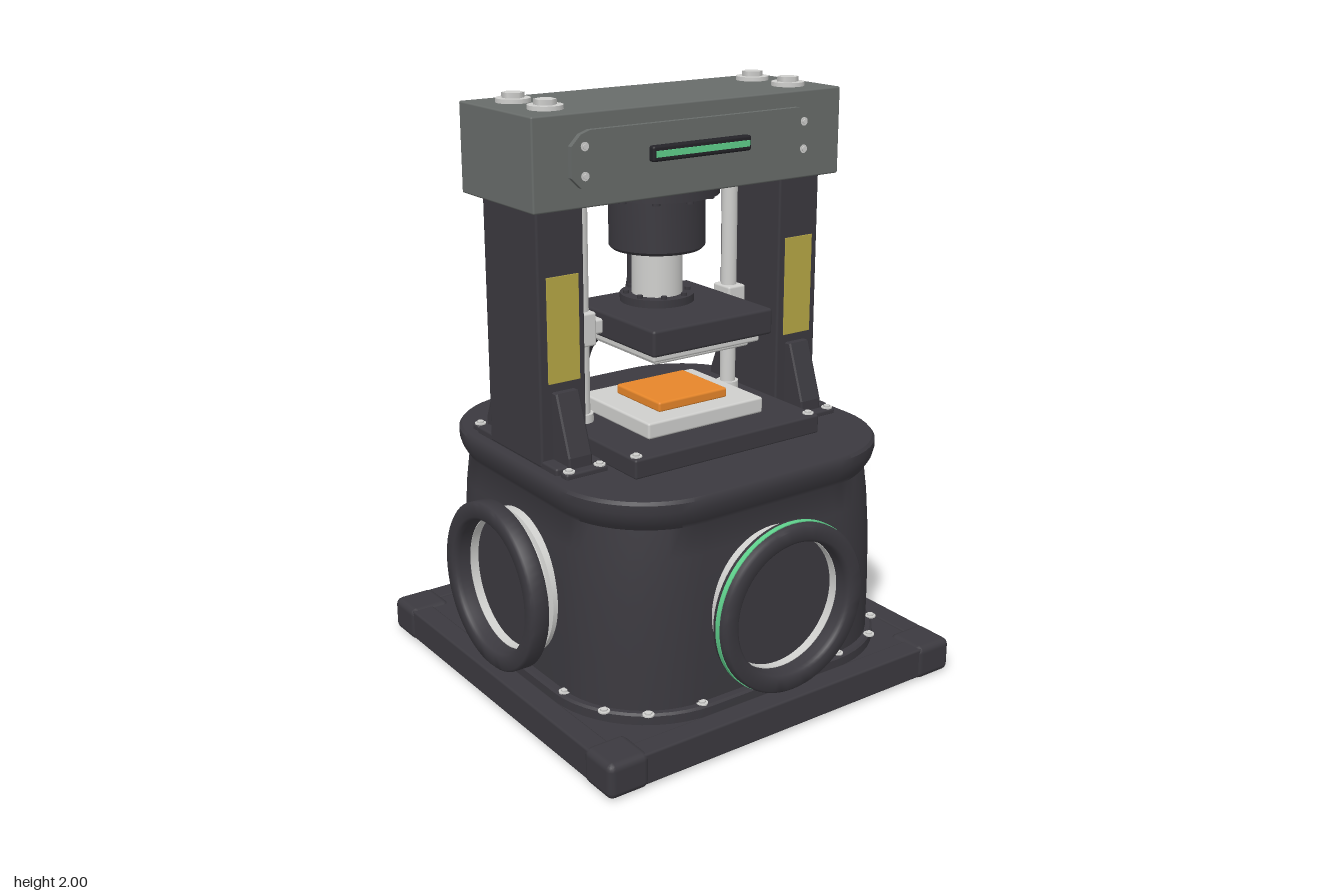
import * as THREE from 'three';
import { toCreasedNormals } from 'three/addons/utils/BufferGeometryUtils.js';
import { RoundedBoxGeometry } from 'three/addons/geometries/RoundedBoxGeometry.js';

const mat = (name, color) => Object.assign(new THREE.MeshStandardMaterial({ color }), { name });

export function createModel() {
  const root = new THREE.Group();
  root.name = 'hydraulicPress';
  const charcoal = mat('charcoal', 0x3b393f), black = mat('black', 0x242328);
  const grey = mat('grey', 0x686c6a), steel = mat('steel', 0xcfcfcd);
  const yellow = mat('yellow', 0xb6a745), orange = mat('orange', 0xe6862a), green = mat('green', 0x5fd08c);
  steel.side = THREE.DoubleSide;

  const add = (name, geo, m, x = 0, y = 0, z = 0, parent = root) => {
    const mesh = new THREE.Mesh(geo, m);
    mesh.name = name;
    mesh.position.set(x, y, z);
    parent.add(mesh);
    return mesh;
  };
  const group = (name, x, y, z, turn = 0, tilt = 0) => {
    const g = new THREE.Group();
    g.name = name;
    g.position.set(x, y, z);
    g.rotation.set(tilt, turn, 0, 'YXZ');
    root.add(g);
    return g;
  };
  const box = (w, h, d, r = 0.008) => new RoundedBoxGeometry(w, h, d, 2, r);
  const cyl = (r, h, n = 32, r2 = r) => new THREE.CylinderGeometry(r, r2, h, n);
  const profile = (pts) => pts.map(p => new THREE.Vector2(...p));

  // Hex bolt on a washer, standing on y
  const bolt = (name, x, y, z, r, parent = root, facing = false) => {
    const g = new THREE.Group();
    g.name = name;
    add('washer', cyl(r, r * 0.25, 20), steel, 0, r * 0.12, 0, g);
    add('hexHead', cyl(r * 0.64, r * 0.55, 6), steel, 0, r * 0.27, 0, g);
    g.position.set(x, y, z);
    if (facing) g.rotation.x = Math.PI / 2;
    parent.add(g);
  };

  // Stacked rounded squares; levels are [y, half width, corner radius]
  const loft = (levels) => {
    const pos = [], idx = [], steps = 12, n = 4 * (steps + 1);
    for (const [y, h, r] of levels)
      for (let q = 0; q < 4; q++)
        for (let s = 0; s <= steps; s++) {
          const a = (q + s / steps) * Math.PI / 2, mid = (q + 0.5) * Math.PI / 2;
          pos.push(Math.sign(Math.cos(mid)) * (h - r) + r * Math.cos(a), y,
            Math.sign(Math.sin(mid)) * (h - r) + r * Math.sin(a));
        }
    for (let l = 0; l < levels.length - 1; l++)
      for (let i = 0; i < n; i++) {
        const a = l * n + i, b = l * n + (i + 1) % n;
        idx.push(a, a + n, b, b, a + n, b + n);
      }
    const top = (levels.length - 1) * n, c = pos.length / 3;
    pos.push(0, levels.at(-1)[0], 0);
    for (let i = 0; i < n; i++) idx.push(c, top + (i + 1) % n, top + i);
    const g = new THREE.BufferGeometry();
    g.setAttribute('position', new THREE.Float32BufferAttribute(pos, 3));
    g.setIndex(idx);
    return toCreasedNormals(g, 0.7);
  };

  // Panel with cut corners, facing +z; ends bend back around the body corners
  const panelGeo = (w, h, c, d, bent) => {
    const g = new THREE.BoxGeometry(w, h, d, 28, 1, 1), p = g.attributes.position;
    for (let i = 0; i < p.count; i++) {
      const x = Math.abs(p.getX(i)), over = bent ? Math.max(0, x - 0.26) : 0;
      p.setY(i, Math.sign(p.getY(i)) * (h / 2 - Math.max(0, x - w / 2 + c)));
      p.setZ(i, p.getZ(i) - 0.33 + Math.sqrt(0.33 ** 2 - over ** 2));
    }
    return toCreasedNormals(g, 0.5);
  };
  const cornerScrews = (g, x, y, z) => {
    for (const sx of [-1, 1]) for (const sy of [-1, 1]) bolt('panelScrew', sx * x, sy * y, z, 0.014, g, true);
  };

  // Base frame, recessed floor plate and corner feet
  for (const s of [-1, 1]) {
    add('baseRail', box(1.4, 0.107, 0.08), charcoal, 0, 0.0615, s * 0.664);
    add('baseRail', box(0.08, 0.107, 1.4), charcoal, s * 0.664, 0.0615, 0);
    for (const t of [-1, 1]) add('cornerFoot', box(0.15, 0.12, 0.15, 0.024), charcoal, s * 0.635, 0.06, t * 0.635);
  }
  add('floorPlate', box(1.26, 0.05, 1.26), charcoal, 0, 0.085, 0);
  add('bodyFlange', loft([[0.1, 0.625, 0.365], [0.14, 0.625, 0.365], [0.147, 0.618, 0.36]]), charcoal);
  for (const sx of [-1, 1]) for (const sz of [-1, 1])
    for (const [x, z] of [[0.6, 0.285], [0.565, 0.46], [0.465, 0.56], [0.285, 0.6]])
      bolt('flangeBolt', sx * x, 0.145, sz * z, 0.019);

  // Rounded body flaring into its upper rim
  add('body', loft([[0.14, 0.595, 0.32], [0.3, 0.595, 0.32], [0.5, 0.592, 0.32], [0.65, 0.584, 0.32], [0.748, 0.575, 0.32],
    [0.763, 0.583, 0.32], [0.785, 0.593, 0.32], [0.812, 0.6, 0.325], [0.84, 0.6, 0.325], [0.85, 0.592, 0.32]]), charcoal);

  // Round ports on the front and the right side
  const lathe = (pts) => {
    const g = new THREE.LatheGeometry(profile(pts), 64);
    g.rotateX(Math.PI / 2);
    return toCreasedNormals(g, 0.9);
  };
  const port = (name, x, z, turn, lit) => {
    const g = group(name, x, 0.433, z, turn);
    add('portCollar', lathe([[0.245, -0.03], [0.245, 0.02], [0.228, 0.025], [0.228, 0.06], [0.22, 0.06], [0.22, 0.0]]), steel, 0, 0, 0, g);
    add('portRing', lathe([[0.222, 0.055], [0.276, 0.055], [0.284, 0.062], [0.284, 0.112], [0.276, 0.12],
      [0.235, 0.12], [0.226, 0.113], [0.222, 0.1], [0.222, 0.055]]), charcoal, 0, 0, 0, g);
    add('portDisc', new THREE.CircleGeometry(0.222, 48), charcoal, 0, 0, 0.03, g);
    if (lit) add('portGlow', lathe([[0.282, 0.076], [0.287, 0.076], [0.287, 0.093], [0.282, 0.093]]), green, 0, 0, 0, g);
  };
  port('frontPort', 0, 0.59, 0, true);
  port('sidePort', -0.59, 0, -Math.PI / 2, false);

  // Vent panel on the left side
  const vent = group('ventPanel', 0.593, 0.477, 0, Math.PI / 2, -0.02);
  add('ventPlate', panelGeo(0.71, 0.49, 0.04, 0.04, true), grey, 0, 0, 0, vent);
  for (const s of [-1, 1]) for (let i = 0; i < 8; i++)
    add('ventSlot', new THREE.BoxGeometry(0.158, 0.016, 0.004), black, s * 0.1, 0.168 - i * 0.0475, 0.02, vent);
  cornerScrews(vent, 0.302, 0.195, 0.017);

  // Service panel at the back
  const service = group('servicePanel', 0, 0.477, -0.593, Math.PI, -0.02);
  add('servicePlate', panelGeo(0.71, 0.49, 0.04, 0.04, true), grey, 0, 0, 0, service);
  cornerScrews(service, 0.302, 0.195, 0.017);

  // Columns with feet, gussets and warning plates
  const gusset = (h) => new THREE.ExtrudeGeometry(
    new THREE.Shape(profile([[-0.01, 0], [h, 0], [h, 0.03], [0.022, 0.222], [-0.01, 0.222]])),
    { depth: 0.075, bevelEnabled: true, bevelThickness: 0.006, bevelSize: 0.004, bevelSegments: 1 }).translate(0, 0, -0.0375);
  for (const s of [-1, 1]) {
    add('column', box(0.17, 0.84, 0.324, 0.008), charcoal, s * 0.477, 1.27, -0.045);
    add('columnFoot', box(0.17, 0.03, 0.5), charcoal, s * 0.475, 0.858, -0.05);
    add('gussetFront', gusset(0.09), charcoal, s * 0.475, 0.87, 0.116).rotation.y = -Math.PI / 2;
    add('gussetBack', gusset(0.1), charcoal, s * 0.475, 0.87, -0.204).rotation.y = Math.PI / 2;
    for (const z of [0.23, -0.33]) {
      add('footTab', box(0.155, 0.024, 0.04), charcoal, s * 0.475, 0.856, z);
      for (const x of [0.418, 0.532]) bolt('footBolt', s * x, 0.867, z, 0.019);
    }
    add('warningBacking', box(0.118, 0.343, 0.006, 0.003), charcoal, s * 0.475, 1.296, 0.118);
    add('warningPlate', box(0.118, 0.343, 0.003, 0.0014), yellow, s * 0.475, 1.296, 0.122);
  }

  // Top beam with bolts and panels
  add('topBeam', box(1.2, 0.29, 0.436, 0.006), grey, 0, 1.823, -0.049);
  for (const x of [-0.475, 0.475]) for (const z of [-0.145, 0.045]) bolt('beamBolt', x, 1.968, z, 0.056);
  for (const [name, z, turn] of [['beamFrontPanel', 0.178, 0], ['beamBackPanel', -0.274, Math.PI]]) {
    const g = group(name, 0, 1.824, z, turn);
    add('beamPlate', panelGeo(0.95, 0.185, 0.045, 0.02, false), grey, 0, 0, 0, g);
    cornerScrews(g, 0.428, 0.045, 0.009);
    if (!turn) {
      add('displayFrame', box(0.385, 0.05, 0.03), black, 0, 0, 0.017, g);
      add('displayLight', new THREE.BoxGeometry(0.365, 0.02, 0.006), green, 0, 0, 0.033, g);
    }
  }

  // Hydraulic cylinder and ram
  const studRing = (name, count, r, size, y) => {
    for (let i = 0; i < count; i++) {
      const a = (i + 0.5) * 2 * Math.PI / count;
      add(name, cyl(size, 0.013, 6), charcoal, r * Math.cos(a), y, -0.044 + r * Math.sin(a));
    }
  };
  add('cylinderFlange', cyl(0.208, 0.03, 48), charcoal, 0, 1.664, -0.044);
  studRing('flangeStud', 10, 0.184, 0.013, 1.644);
  add('cylinder', toCreasedNormals(new THREE.LatheGeometry(profile([[0, 0], [0.152, 0], [0.161, 0.01], [0.161, 0.2]]), 48), 0.6),
    charcoal, 0, 1.466, -0.044);
  add('ram', cyl(0.085, 0.2, 40), steel, 0, 1.388, -0.044);
  add('ramCollar', cyl(0.125, 0.03, 40), charcoal, 0, 1.295, -0.044);
  studRing('collarStud', 8, 0.106, 0.01, 1.314);

  // Moving platen, bed and workpiece
  add('platen', box(0.48, 0.088, 0.475, 0.01), charcoal, 0, 1.24, 0.038);
  add('platenLining', box(0.43, 0.03, 0.4), steel, 0, 1.182, 0.04);
  add('platenFace', box(0.38, 0.022, 0.35), steel, 0, 1.161, 0.04);
  add('bed', box(0.75, 0.066, 0.65), charcoal, 0, 0.88, 0.043);
  add('anvil', box(0.47, 0.055, 0.4), steel, 0, 0.94, 0.04);
  add('workpiece', box(0.28, 0.035, 0.25), orange, 0, 0.982, 0.04);
  for (const x of [-0.352, 0.352]) bolt('bedBolt', x, 0.912, 0.338, 0.019);

  // Guide rods with their bushings
  for (const s of [-1, 1]) {
    add('guideRod', cyl(0.027, 0.78, 24), steel, s * 0.305, 1.3, -0.044);
    add('rodTopNut', cyl(0.037, 0.025, 24), steel, s * 0.305, 1.664, -0.044);
    add('rodFoot', cyl(0.038, 0.03, 24), steel, s * 0.305, 0.927, -0.044);
    add('bushing', box(0.072, 0.114, 0.09), steel, s * 0.308, 1.235, -0.044);
    add('bushingArm', box(0.05, 0.05, 0.06), steel, s * 0.255, 1.235, -0.044);
  }

  // Hoses with rounded bends, and their fittings
  const path = [[1.826, -0.28], [1.826, -0.342], [1.22, -0.342], [0.93, -0.688], [0.481, -0.688], [0.481, -0.61]];
  for (const x of [-0.115, 0.11]) {
    const v = path.map(([y, z]) => new THREE.Vector3(x, y, z));
    const curve = new THREE.CurvePath();
    let from = v[0];
    for (let i = 1; i < v.length - 1; i++) {
      const r = i === 2 || i === 3 ? 0.1 : 0.045;
      const toward = (p) => v[i].clone().add(p.clone().sub(v[i]).setLength(r));
      const a = toward(v[i - 1]), b = toward(v[i + 1]);
      curve.add(new THREE.LineCurve3(from, a));
      curve.add(new THREE.QuadraticBezierCurve3(a, v[i], b));
      from = b;
    }
    curve.add(new THREE.LineCurve3(from, v.at(-1)));
    add('hose', new THREE.TubeGeometry(curve, 140, 0.022, 14), charcoal);
    for (const [y, z] of [[1.826, -0.286], [0.481, -0.618]]) {
      add('fittingNut', cyl(0.045, 0.024, 6), steel, x, y, z - 0.008).rotation.x = Math.PI / 2;
      add('fittingNeck', cyl(0.03, 0.045, 20), steel, x, y, z - 0.022).rotation.x = Math.PI / 2;
    }
  }
  return root;
}
